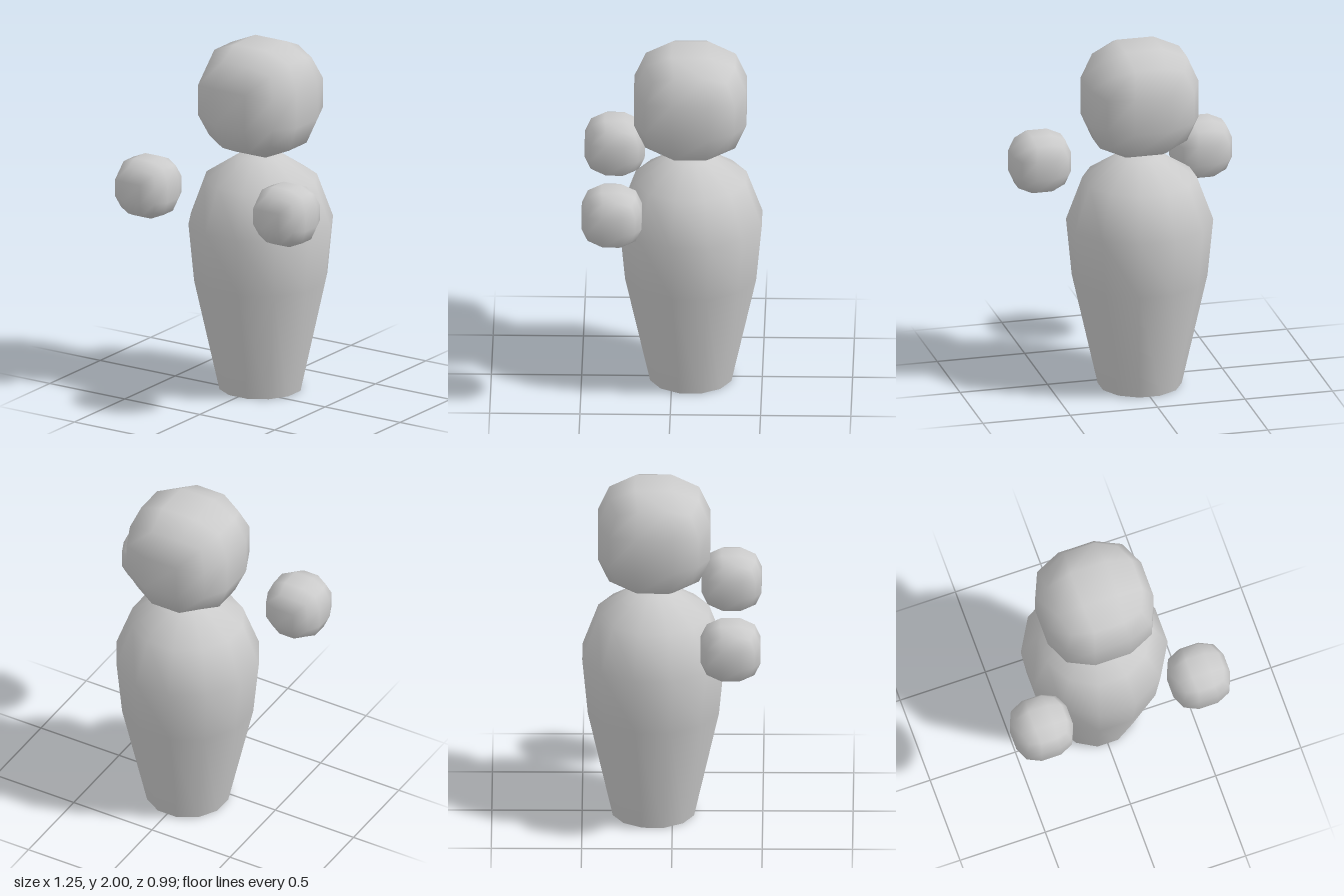
import * as THREE from 'three';
import { mergeVertices } from 'three/addons/utils/BufferGeometryUtils.js';

const material = new THREE.MeshStandardMaterial({ color: 0xcccccc });
const openMaterial = new THREE.MeshStandardMaterial({ color: 0xcccccc, side: THREE.DoubleSide });

// Cube of 3 x 3 quads per side, swollen into a ball that is 2 * half wide
function ballGeometry(half) {
  let geo = new THREE.BoxGeometry(2, 2, 2, 3, 3, 3);
  geo.deleteAttribute('normal');
  geo.deleteAttribute('uv');
  geo = mergeVertices(geo);
  const outer = [0, 1, 0.8, 0.66]; // reach of face, edge and corner points
  const inner = [0, 0.335, 0.28, 0]; // offset of their in-between coordinates
  const pos = geo.attributes.position;
  for (let i = 0; i < pos.count; i++) {
    const p = [pos.getX(i), pos.getY(i), pos.getZ(i)];
    const sides = p.filter((v) => Math.abs(v) > 0.9).length;
    const q = p.map((v) => Math.sign(v) * half * (Math.abs(v) > 0.9 ? outer[sides] : inner[sides]));
    pos.setXYZ(i, ...q);
  }
  geo.computeVertexNormals();
  return geo;
}

export function createModel() {
  const model = new THREE.Group();
  model.name = 'figure';

  const add = (name, geometry, x, y, z, mat = material) => {
    const mesh = new THREE.Mesh(geometry, mat);
    mesh.name = name;
    mesh.position.set(x, y, z);
    model.add(mesh);
  };

  // Twelve-sided body, open at the bottom; half widths across flats
  const profile = [[0.225, 0], [0.363, 0.64], [0.394, 0.97], [0.306, 1.22], [0.117, 1.35], [0, 1.35]]
    .map(([w, y]) => new THREE.Vector2(w / Math.cos(Math.PI / 12), y));
  add('body', new THREE.LatheGeometry(profile, 12, Math.PI / 12), 0, 0, -0.105, openMaterial);

  // Floating head
  add('head', ballGeometry(0.311), 0, 1.69, -0.102);

  // Floating hands
  for (const [name, side] of [['leftHand', 1], ['rightHand', -1]]) {
    add(name, ballGeometry(0.166), side * 0.461, 1.2, 0.325);
  }

  return model;
}
